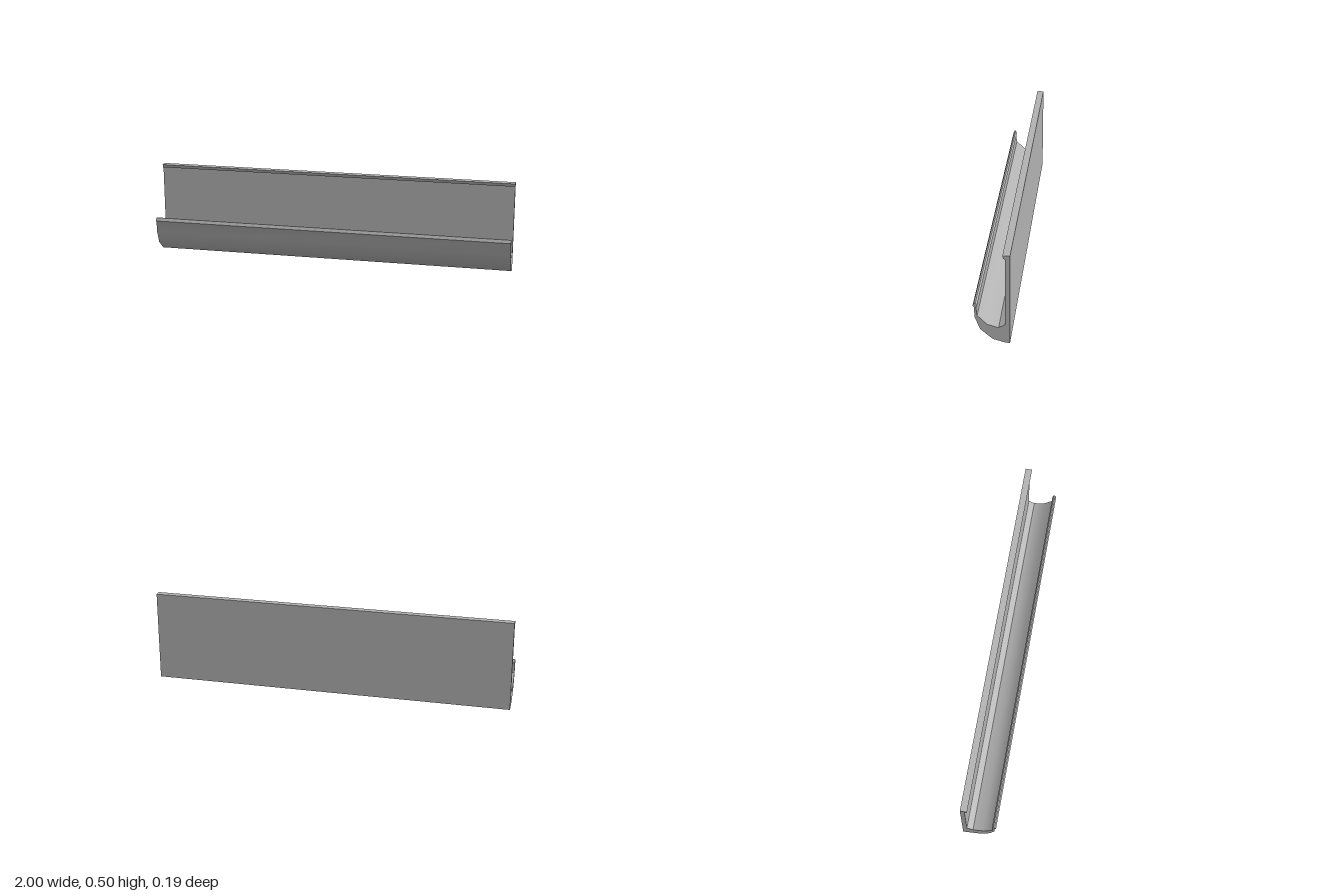
import * as THREE from 'three';
import { toCreasedNormals } from 'three/addons/utils/BufferGeometryUtils.js';

const LENGTH = 2;

// Cross-section of the rail as [z, y], counter-clockwise from the back bottom edge
const PROFILE = [
  // underside and rounded front of the trough
  [-0.092, 0], [-0.07, 0], [-0.007, 0.018], [0.056, 0.071], [0.083, 0.139], [0.087, 0.199],
  // bead along the front rim
  [0.093, 0.208], [0.086, 0.225], [0.079, 0.225], [0.071, 0.21], [0.077, 0.198],
  // inside of the trough
  [0.071, 0.152], [0.022, 0.103], [-0.035, 0.087], [-0.068, 0.106],
  // back plate with the small lip along its top
  [-0.068, 0.481], [-0.059, 0.483], [-0.055, 0.5], [-0.092, 0.5],
];

export function createModel() {
  const group = new THREE.Group();
  group.name = 'hookRail';

  const grey = new THREE.MeshStandardMaterial({ color: 0xb3b3b3 });
  grey.name = 'light grey';

  // Sweep the section along x; shallow bends are smooth, corners stay sharp
  const shape = new THREE.Shape(PROFILE.map(([z, y]) => new THREE.Vector2(z, y)));
  const geometry = new THREE.ExtrudeGeometry(shape, { depth: LENGTH, bevelEnabled: false });
  geometry.translate(0, 0, -LENGTH / 2);
  geometry.rotateY(-Math.PI / 2);

  const rail = new THREE.Mesh(toCreasedNormals(geometry, THREE.MathUtils.degToRad(37)), grey);
  rail.name = 'railProfile';
  group.add(rail);

  return group;
}
